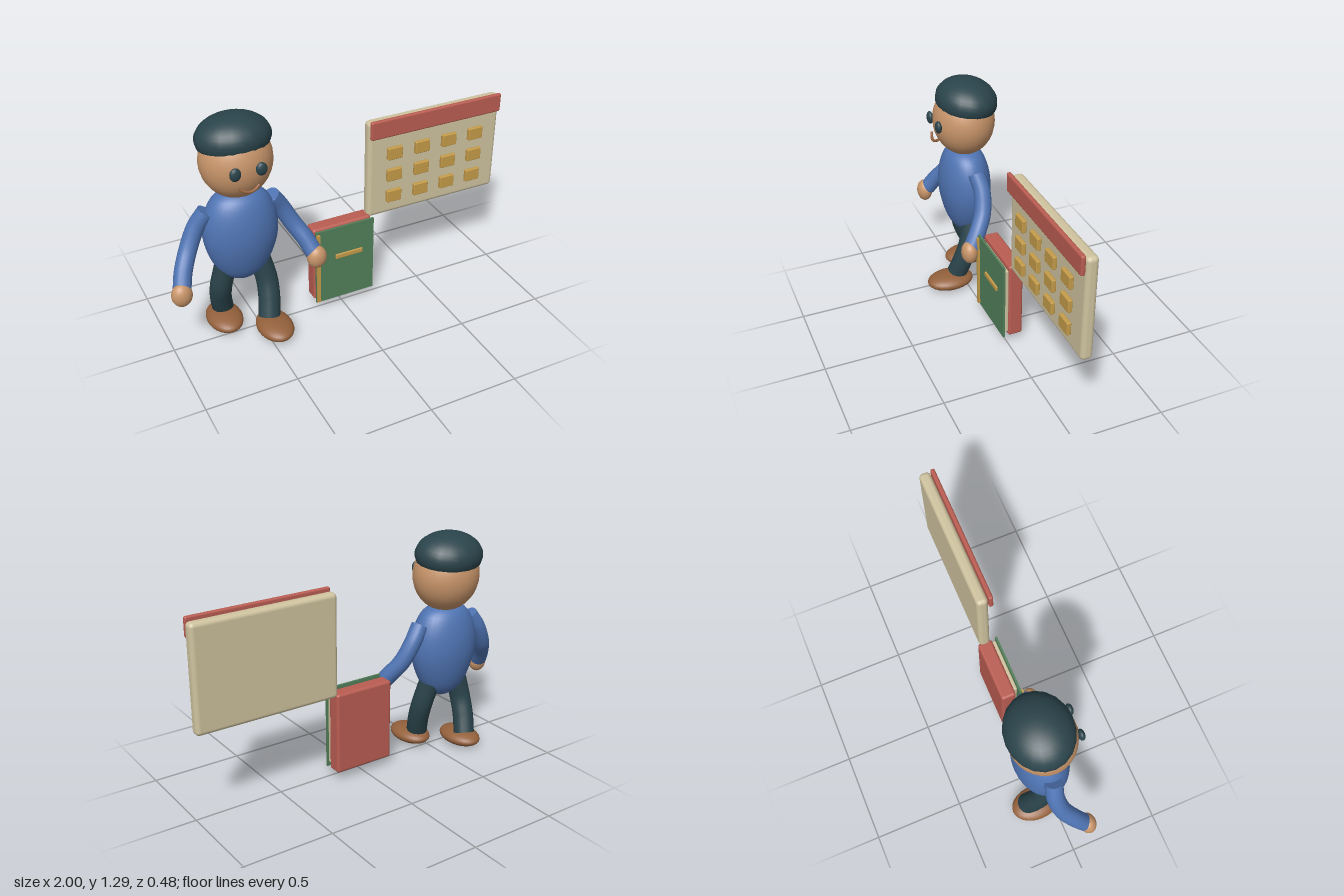
import * as THREE from 'three';
import { RoundedBoxGeometry } from 'three/addons/geometries/RoundedBoxGeometry.js';

const mat = (name, color, side = THREE.FrontSide) => {
  const m = new THREE.MeshStandardMaterial({ color, side });
  m.name = name;
  return m;
};

export function createModel() {
  const skin = mat('skin', 0xc8956a);
  const blue = mat('shirt blue', 0x4f74b3);
  const dark = mat('dark slate', 0x2a444b, THREE.DoubleSide);
  const brown = mat('shoe brown', 0x94613c);
  const red = mat('red', 0xba5d52);
  const cream = mat('cream', 0xcfc39f);
  const gold = mat('gold', 0xc59c4a);
  const green = mat('green', 0x527f5a);

  const model = new THREE.Group();
  model.name = 'personWithBookAndCalendar';
  const person = new THREE.Group();
  person.name = 'person';
  person.position.x = -0.565;
  model.add(person);

  const add = (parent, name, geo, material, x = 0, y = 0, z = 0) => {
    const m = new THREE.Mesh(geo, material);
    m.name = name;
    m.position.set(x, y, z);
    parent.add(m);
    return m;
  };
  const ellipsoid = (name, material, pos, radii, w = 28, h = 18) =>
    add(person, name, new THREE.SphereGeometry(1, w, h).scale(...radii), material, ...pos);

  // Tube limb closed by a flat disc at each end
  const limb = (name, material, pts, r) => {
    const g = new THREE.Group();
    g.name = name;
    person.add(g);
    const curve = new THREE.CatmullRomCurve3(pts.map(p => new THREE.Vector3(...p)));
    add(g, name + 'Tube', new THREE.TubeGeometry(curve, 20, r, 16), material);
    for (const t of [0, 1]) {
      const p = curve.getPoint(t);
      const dir = curve.getTangent(t).multiplyScalar(t ? 1 : -1);
      const cap = add(g, name + 'End', new THREE.CircleGeometry(r, 16), material, p.x, p.y, p.z);
      cap.quaternion.setFromUnitVectors(new THREE.Vector3(0, 0, 1), dir);
    }
  };

  // Egg-shaped torso
  const profile = new THREE.SplineCurve([
    [0, 0.325], [0.07, 0.35], [0.135, 0.41], [0.185, 0.52], [0.205, 0.63],
    [0.192, 0.74], [0.15, 0.83], [0.085, 0.872], [0, 0.88],
  ].map(p => new THREE.Vector2(...p))).getPoints(28);
  profile[0].x = profile[profile.length - 1].x = 0;
  add(person, 'torso', new THREE.LatheGeometry(profile, 32).scale(1, 1, 0.71), blue, 0, 0, -0.045);

  // Head, cap and face
  ellipsoid('head', skin, [0, 1.05, -0.048], [0.192, 0.203, 0.175]);
  const cap = add(person, 'cap',
    new THREE.SphereGeometry(1, 20, 12, 0, Math.PI * 2, 0, Math.PI * 0.6).scale(0.198, 0.125, 0.172),
    dark, 0, 1.168, -0.066);
  cap.rotation.x = -0.12;
  for (const s of [-1, 1])
    ellipsoid(s > 0 ? 'leftEye' : 'rightEye', dark, [s * 0.069, 1.062, 0.128], [0.03, 0.036, 0.018], 18, 12);
  limb('mouth', brown, [[-0.052, 0.976, 0.126], [-0.028, 0.961, 0.135], [0, 0.955, 0.139],
    [0.028, 0.961, 0.135], [0.052, 0.976, 0.126]], 0.008);

  // Arms, hands, legs and shoes; the left leg steps forward
  for (const s of [-1, 1]) {
    const side = s > 0 ? 'left' : 'right';
    limb(side + 'Arm', blue, [[s * 0.178, 0.785, -0.05], [s * 0.235, 0.7, -0.062],
      [s * 0.293, 0.59, -0.04], [s * 0.345, 0.5, 0.015], [s * 0.372, 0.43, 0.06]], 0.048);
    ellipsoid(side + 'Hand', skin, [s * 0.38, 0.41, 0.077], [0.056, 0.067, 0.046], 20, 14);

    const footZ = s > 0 ? 0.05 : -0.143;
    const kneeZ = s > 0 ? -0.02 : -0.07;
    limb(side + 'Leg', dark, [[s * 0.095, 0.43, -0.05], [s * 0.122, 0.29, kneeZ],
      [s * 0.118, 0.19, (kneeZ + footZ) / 2], [s * 0.1, 0.09, footZ]], 0.06);
    ellipsoid(side + 'Shoe', brown, [s * 0.11, 0.052, s > 0 ? 0.1 : -0.095], [0.098, 0.047, 0.141]);
  }

  // Book: back block, pages, cover and gilt trim
  const book = new THREE.Group();
  book.name = 'book';
  model.add(book);
  add(book, 'backBlock', new RoundedBoxGeometry(0.355, 0.467, 0.084, 3, 0.015), red, 0.01, 0.288, -0.046);
  add(book, 'pages', new RoundedBoxGeometry(0.31, 0.41, 0.024, 2, 0.006), cream, 0.025, 0.288, 0.006);
  add(book, 'cover', new THREE.BoxGeometry(0.355, 0.468, 0.012), green, 0.01, 0.29, 0.024);
  add(book, 'spineStrip', new THREE.BoxGeometry(0.02, 0.446, 0.012), gold, -0.156, 0.288, 0.036);
  add(book, 'titleBar', new RoundedBoxGeometry(0.165, 0.028, 0.012, 2, 0.004), gold, 0.032, 0.34, 0.036);

  // Wall calendar with header and day tiles
  const calendar = new THREE.Group();
  calendar.name = 'calendar';
  model.add(calendar);
  add(calendar, 'board', new RoundedBoxGeometry(0.825, 0.584, 0.064, 3, 0.024), cream, 0.585, 0.793, -0.046);
  add(calendar, 'header', new RoundedBoxGeometry(0.815, 0.108, 0.025, 2, 0.01), red, 0.582, 1.047, 0);
  for (let row = 0; row < 3; row++)
    for (let col = 0; col < 4; col++)
      add(calendar, 'dayTile', new RoundedBoxGeometry(0.09, 0.072, 0.024, 2, 0.005), gold,
        0.326 + col * 0.171, 0.885 - row * 0.133, -0.002);

  return model;
}
